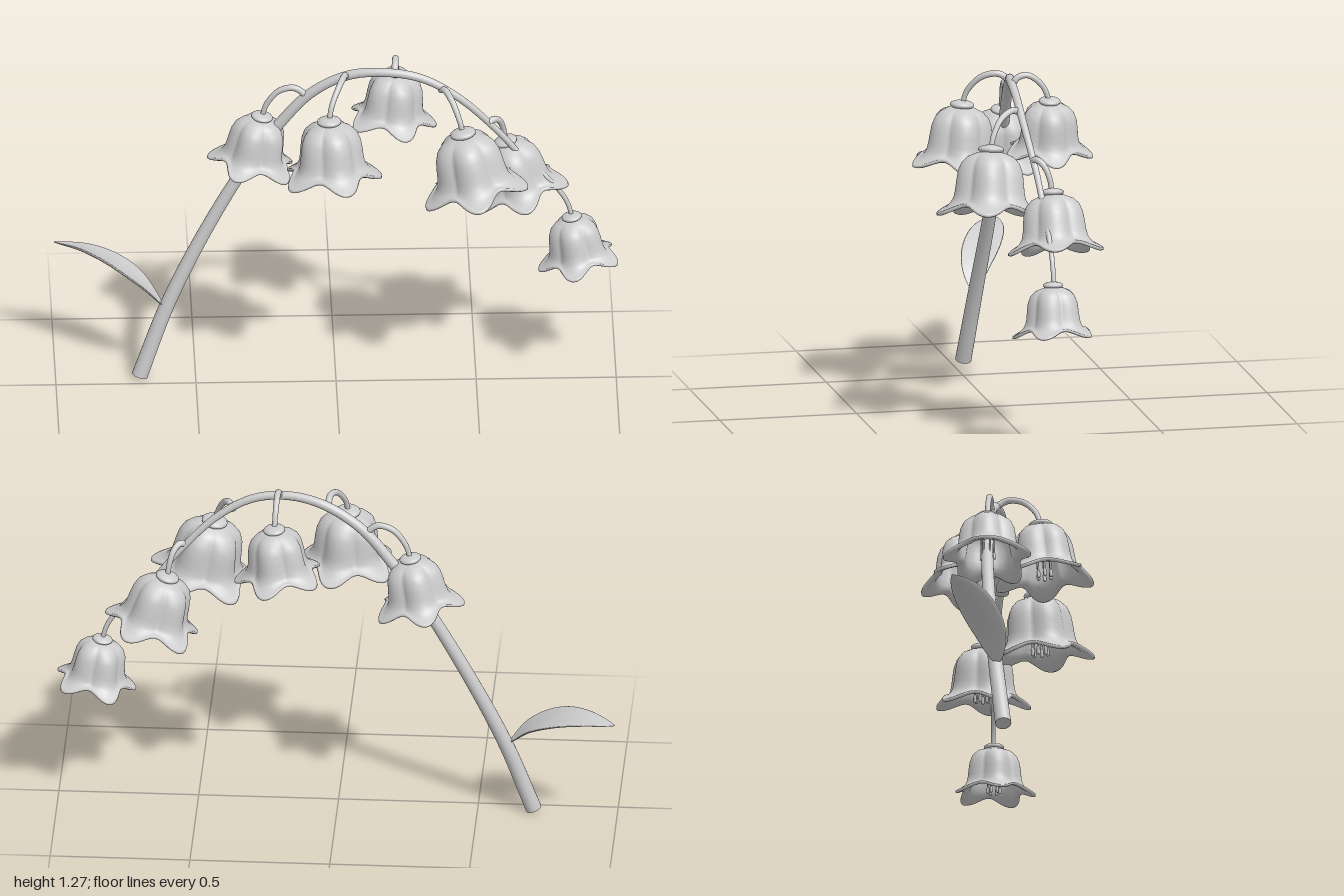
import * as THREE from 'three';

const grey = new THREE.MeshStandardMaterial({ color: 0xcccccc });
grey.name = 'light grey';

const V = (p) => new THREE.Vector3(...p);

// Skins a list of closed rings (arrays of Vector3) with smooth normals.
function skin(rings) {
  const n = rings[0].length, pos = [], idx = [];
  rings.forEach((ring) => ring.forEach((p) => pos.push(p.x, p.y, p.z)));
  for (let i = 0; i < rings.length - 1; i++) {
    for (let j = 0; j < n; j++) {
      const k = (j + 1) % n, a = i * n + j, b = i * n + k, c = a + n, d = b + n;
      idx.push(a, b, c, b, d, c);
    }
  }
  const g = new THREE.BufferGeometry();
  g.setAttribute('position', new THREE.Float32BufferAttribute(pos, 3));
  g.setIndex(idx);
  g.computeVertexNormals();
  return g;
}

function add(parent, name, geometry) {
  const mesh = new THREE.Mesh(geometry, grey);
  mesh.name = name;
  parent.add(mesh);
  return mesh;
}

// Tapered round stalk with flat ends.
function stalk(points, r0, r1, steps, sides) {
  const curve = new THREE.CatmullRomCurve3(points.map(V));
  const frames = curve.computeFrenetFrames(steps);
  const ring = (i, s) => {
    const c = curve.getPointAt(i / steps), r = s * THREE.MathUtils.lerp(r0, r1, i / steps);
    return Array.from({ length: sides }, (_, j) => {
      const a = (j / sides) * Math.PI * 2;
      return c.clone().addScaledVector(frames.normals[i], r * Math.cos(a))
        .addScaledVector(frames.binormals[i], r * Math.sin(a));
    });
  };
  const rings = [ring(0, 0), ring(0, 1)];
  for (let i = 0; i <= steps; i++) rings.push(ring(i, 1));
  rings.push(ring(steps, 1), ring(steps, 0));
  return skin(rings);
}

// Bell shell: [radius, height, lobe depth, petal reach] down the outside, round the lip, up the inside.
function bellGeometry() {
  const outer = [
    [0.012, -0.004, 0, 0], [0.038, -0.009, 0.04, 0], [0.064, -0.02, 0.12, 0], [0.081, -0.038, 0.17, 0],
    [0.09, -0.062, 0.18, 0], [0.094, -0.09, 0.18, 0], [0.097, -0.118, 0.16, 0], [0.1, -0.138, 0.13, 0.08],
    [0.105, -0.151, 0.09, 0.3], [0.112, -0.16, 0.05, 0.65], [0.12, -0.165, 0.02, 1],
  ];
  const lip = [[0.125, -0.167, 0.01, 1.03], [0.125, -0.174, 0.01, 1.03], [0.118, -0.176, 0.01, 0.97]];
  const inner = outer.slice(1, -1).reverse().map(([r, y, l, p]) => [r - 0.009, y - 0.007, l, p]);
  const profile = [...outer, ...lip, ...inner, [0.001, -0.018, 0, 0]];
  const n = 80;
  return skin(profile.map(([r, y, lobe, reach]) => Array.from({ length: n }, (_, j) => {
    const a = (j / n) * Math.PI * 2;
    const bulge = Math.abs(Math.cos(2.5 * a));         // five lobes with creases between
    const tip = Math.pow(bulge, 2.2);
    const rr = r * (1 + lobe * (bulge - 0.75)) + reach * (0.038 * tip - 0.01);
    return new THREE.Vector3(rr * Math.cos(a), y - reach * (0.027 * tip - 0.012), rr * Math.sin(a));
  })));
}

// Flower hanging from its cap, with five petals and a cluster of stamens.
function flower(shell, { at, lean, phase, size }) {
  const g = new THREE.Group();
  g.name = 'flower';
  add(g, 'bell', shell);
  add(g, 'cap', new THREE.SphereGeometry(0.037, 24, 12)).scale.y = 0.38;
  const filament = new THREE.CylinderGeometry(0.003, 0.003, 0.14, 8);
  const anther = new THREE.CapsuleGeometry(0.0055, 0.014, 4, 10);
  for (let i = 0; i < 6; i++) {
    const a = (i / 6) * Math.PI * 2, x = 0.022 * Math.cos(a), z = 0.022 * Math.sin(a);
    add(g, 'stamenFilament', filament).position.set(x, -0.09, z);
    add(g, 'stamenTip', anther).position.set(x, -0.164, z);
  }
  g.rotation.y = -THREE.MathUtils.degToRad(phase);
  const hang = new THREE.Group();
  hang.name = 'hangingFlower';
  hang.add(g);
  hang.position.set(...at);
  hang.scale.setScalar(size);
  hang.quaternion.setFromUnitVectors(new THREE.Vector3(0, -1, 0),
    new THREE.Vector3(lean[0], -1, lean[1]).normalize());
  return hang;
}

// Cupped, pointed leaf swept along an arching midrib, rolled a little to the back.
function leafGeometry() {
  const mid = new THREE.CatmullRomCurve3(
    [[-0.615, 0.285, -0.06], [-0.69, 0.365, -0.088], [-0.79, 0.425, -0.14], [-0.89, 0.452, -0.19], [-1, 0.455, -0.235]].map(V));
  const steps = 28, n = 20, roll = 0.25, rings = [];
  const up = new THREE.Vector3(0, 1, 0);
  for (let i = 0; i <= steps; i++) {
    const t = i / steps, c = mid.getPointAt(t), tan = mid.getTangentAt(t);
    const side = new THREE.Vector3().crossVectors(tan, up).normalize().applyAxisAngle(tan, roll);
    const nor = new THREE.Vector3().crossVectors(side, tan).normalize();
    const w = 0.003 + 0.062 * Math.pow(Math.sin(Math.PI * Math.pow(t, 0.85)), 0.8);
    const h = 0.002 + 0.009 * Math.sin(Math.PI * t);
    rings.push(Array.from({ length: n }, (_, j) => {
      const a = (j / n) * Math.PI * 2, u = Math.cos(a);
      return c.clone().addScaledVector(side, w * u)
        .addScaledVector(nor, 0.22 * w * (u * u - 0.5) - h * Math.sin(a));
    }));
  }
  const point = (t) => Array.from({ length: n }, () => mid.getPointAt(t));
  return skin([point(0), ...rings, point(1)]);
}

export function createModel() {
  const model = new THREE.Group();
  model.name = 'bellFlowerSprig';

  // Main arching stem
  add(model, 'stem', stalk([
    [-0.70, 0.012, -0.045], [-0.60, 0.285, -0.068], [-0.47, 0.56, -0.085], [-0.31, 0.845, -0.09],
    [-0.20, 1.0, -0.083], [-0.09, 1.128, -0.07], [0.04, 1.208, -0.05], [0.17, 1.232, -0.025],
    [0.305, 1.212, -0.014], [0.44, 1.13, -0.015], [0.58, 0.985, -0.03], [0.65, 0.898, -0.036],
    [0.70, 0.845, -0.038], [0.75, 0.797, -0.037], [0.795, 0.745, -0.036], [0.828, 0.69, -0.035], [0.842, 0.638, -0.034],
  ], 0.029, 0.008, 110, 20));

  add(model, 'leaf', leafGeometry());

  // Flowers: cap position, sideways lean (x, z), petal angle, size and the stalk's start and bend points
  const shell = bellGeometry();
  const flowers = [
    { at: [-0.262, 1.027, -0.088], lean: [-0.18, 0], phase: 42, size: 1.06,
      path: [[-0.10, 1.115, -0.07], [-0.145, 1.148, -0.074], [-0.2, 1.135, -0.08], [-0.245, 1.08, -0.086]] },
    { at: [-0.028, 1.107, 0.108], lean: [0.03, 0.08], phase: 0, size: 1.18,
      path: [[0.035, 1.205, -0.05], [0.03, 1.228, -0.01], [0.01, 1.215, 0.045], [-0.018, 1.16, 0.092]] },
    { at: [0.22, 1.163, -0.157], lean: [-0.1, 0.02], phase: 0, size: 1.06,
      path: [[0.21, 1.225, -0.02], [0.212, 1.255, -0.045], [0.214, 1.26, -0.08], [0.217, 1.222, -0.13]] },
    { at: [0.45, 1.052, 0.108], lean: [0.2, 0.07], phase: 15, size: 1.26,
      path: [[0.375, 1.165, -0.014], [0.39, 1.176, 0.015], [0.413, 1.155, 0.06], [0.437, 1.1, 0.095]] },
    { at: [0.607, 0.92, -0.08], lean: [0.27, -0.01], phase: 12, size: 1.15,
      path: [[0.545, 1.025, -0.024], [0.565, 1.032, -0.035], [0.585, 1.015, -0.055], [0.6, 0.97, -0.073]] },
    { at: [0.842, 0.636, -0.032], lean: [0.16, 0], phase: 28, size: 0.98 },
  ];
  for (const f of flowers) {
    model.add(flower(shell, f));
    if (f.path) add(model, 'flowerStalk', stalk([...f.path, f.at], 0.0125, 0.009, 32, 12));
  }
  return model;
}
